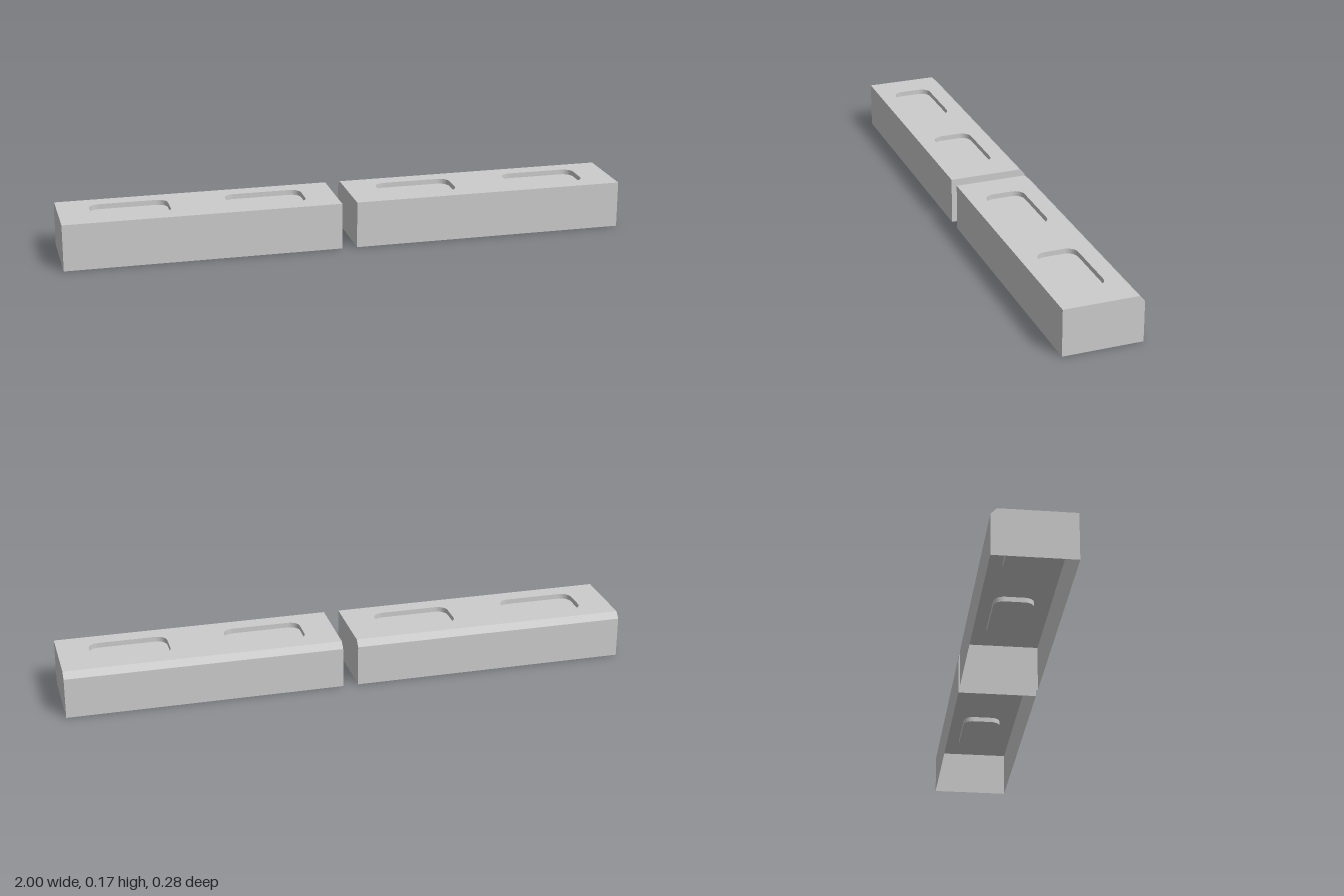
import * as THREE from 'three';

const H = 0.165, SHOULDER = 0.144;          // roof height, foot of the back chamfer
const BACK = -0.139, FRONT = 0.139, ROOF_BACK = -0.118;
const X0 = 0.027, X1 = 1;                   // one block along x
const POCKETS = [0.2755, 0.7525], POCKET_Z = 0.01, DEPTH = 0.018;

const material = new THREE.MeshStandardMaterial({
  color: 0xcccccc, flatShading: true, side: THREE.DoubleSide,
});

const v = (x, y, z) => new THREE.Vector3(x, y, z);

// Sweeps a polyline along an offset into flat quads.
function strip(path, offset) {
  const points = [];
  for (let i = 0; i + 1 < path.length; i++) {
    const a = path[i], b = path[i + 1];
    const c = b.clone().add(offset), d = a.clone().add(offset);
    points.push(a, b, c, a, c, d);
  }
  const geometry = new THREE.BufferGeometry().setFromPoints(points);
  geometry.computeVertexNormals();
  return geometry;
}

// Rounded rectangle, counter-clockwise, centred on (cx, cy).
function roundedRect(cx, cy, halfW, halfH, r) {
  const shape = new THREE.Shape();
  [[1, 1], [-1, 1], [-1, -1], [1, -1]].forEach(([sx, sy], i) => {
    shape.absarc(cx + sx * (halfW - r), cy + sy * (halfH - r), r,
      i * Math.PI / 2, (i + 1) * Math.PI / 2, false);
  });
  shape.closePath();
  return shape;
}

const polygon = (pairs) => new THREE.Shape(pairs.map(([x, y]) => new THREE.Vector2(x, y)));

// Hollow block, open underneath, with two shallow pockets in its roof.
function createBlock(name, shift) {
  const block = new THREE.Group();
  block.name = name;
  const add = (part, geometry) => {
    const mesh = new THREE.Mesh(geometry, material);
    mesh.name = part;
    block.add(mesh);
  };
  const along = v(X1 - X0, 0, 0);

  // Long walls
  add('backWallAndChamfer', strip(
    [v(X0, 0, BACK), v(X0, SHOULDER, BACK), v(X0, H, ROOF_BACK)], along));
  add('frontWall', strip([v(X0, H, FRONT), v(X0, 0, FRONT)], along));

  // End walls
  const profile = [[BACK, 0], [FRONT, 0], [FRONT, H], [ROOF_BACK, H], [BACK, SHOULDER]];
  add('rightEnd', new THREE.ShapeGeometry(polygon(profile))
    .rotateY(-Math.PI / 2).translate(X0, 0, 0));
  add('leftEnd', new THREE.ShapeGeometry(polygon(profile.map(([z, y]) => [-z, y])))
    .rotateY(Math.PI / 2).translate(X1, 0, 0));

  // Roof with pocket openings
  const roof = polygon([[X0, -FRONT], [X1, -FRONT], [X1, -ROOF_BACK], [X0, -ROOF_BACK]]);
  for (const x of POCKETS) {
    const outline = roundedRect(x, -POCKET_Z, 0.137, 0.07, 0.036);
    roof.holes.push(outline);
    const rim = outline.getPoints(4).map((p) => v(p.x, H, -p.y));
    add('pocketWall', strip(rim, v(0, -DEPTH, 0)));
    add('pocketFloor', new THREE.ShapeGeometry(outline, 4)
      .rotateX(-Math.PI / 2).translate(0, H - DEPTH, 0));
  }
  add('roof', new THREE.ShapeGeometry(roof, 4).rotateX(-Math.PI / 2).translate(0, H, 0));

  block.position.x = shift;
  return block;
}

export function createModel() {
  const model = new THREE.Group();
  model.name = 'blockPair';
  model.add(createBlock('leftBlock', 0), createBlock('rightBlock', -(X0 + X1)));
  return model;
}
